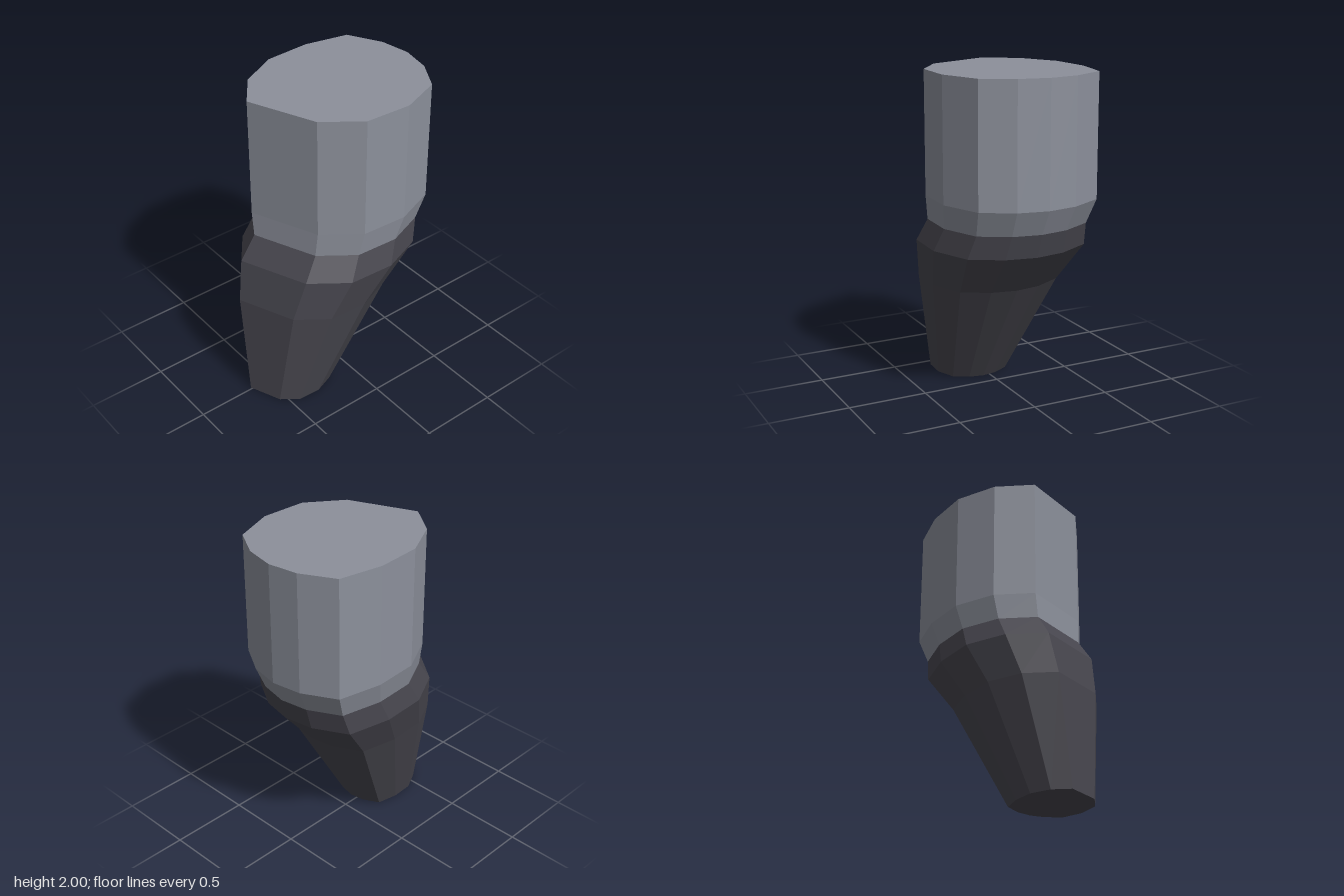
import * as THREE from 'three';

// Outline of the shaft, counterclockwise seen from above (x, z)
const outline = [
  [0.62, -0.02], [0.59, -0.21], [0.48, -0.42], [0.205, -0.478],
  [-0.08, -0.463], [-0.32, -0.34], [-0.47, -0.14], [-0.3, 0.28],
  [-0.08, 0.443], [0.21, 0.458], [0.47, 0.36], [0.582, 0.17],
];

// Each ring is the outline scaled and shifted at one height
const ring = (y, scale, dx, dz) =>
  outline.map(([x, z]) => new THREE.Vector3(x * scale + dx, y, z * scale + dz));

const foot = ring(0, 0.48, -0.4, 0.056);
const shin = ring(0.68, 0.843, -0.227, 0.031);
const bulge = ring(0.94, 1, -0.105, 0.019);
const waist = ring(1.085, 0.935, -0.03, 0.007);
const shoulder = ring(1.24, 1, 0, 0);
const top = ring(2, 1, 0, 0);

// Join rings from bottom to top; optionally close either end with a fan
function loft(name, material, rings, { capBottom = false, capTop = false }) {
  const corners = [];
  const n = outline.length;
  for (let r = 0; r < rings.length - 1; r++) {
    const lower = rings[r], upper = rings[r + 1];
    for (let i = 0; i < n; i++) {
      const j = (i + 1) % n;
      corners.push(lower[i], lower[j], upper[j], lower[i], upper[j], upper[i]);
    }
  }
  const first = rings[0], last = rings[rings.length - 1];
  for (let i = 1; i < n - 1; i++) {
    if (capTop) corners.push(last[0], last[i], last[i + 1]);
    if (capBottom) corners.push(first[0], first[i + 1], first[i]);
  }
  const geometry = new THREE.BufferGeometry().setFromPoints(corners);
  geometry.computeVertexNormals(); // unshared corners give flat facets
  const mesh = new THREE.Mesh(geometry, material);
  mesh.name = name;
  return mesh;
}

export function createModel() {
  const paleGrey = new THREE.MeshStandardMaterial({ color: 0x8c909b });
  paleGrey.name = 'pale grey';
  const darkGrey = new THREE.MeshStandardMaterial({ color: 0x47464e });
  darkGrey.name = 'dark grey';

  const group = new THREE.Group();
  group.name = 'taperedPeg';
  group.add(
    loft('upperShaft', paleGrey, [waist, shoulder, top], { capTop: true }),
    loft('lowerTaper', darkGrey, [foot, shin, bulge, waist], { capBottom: true }),
  );
  return group;
}
